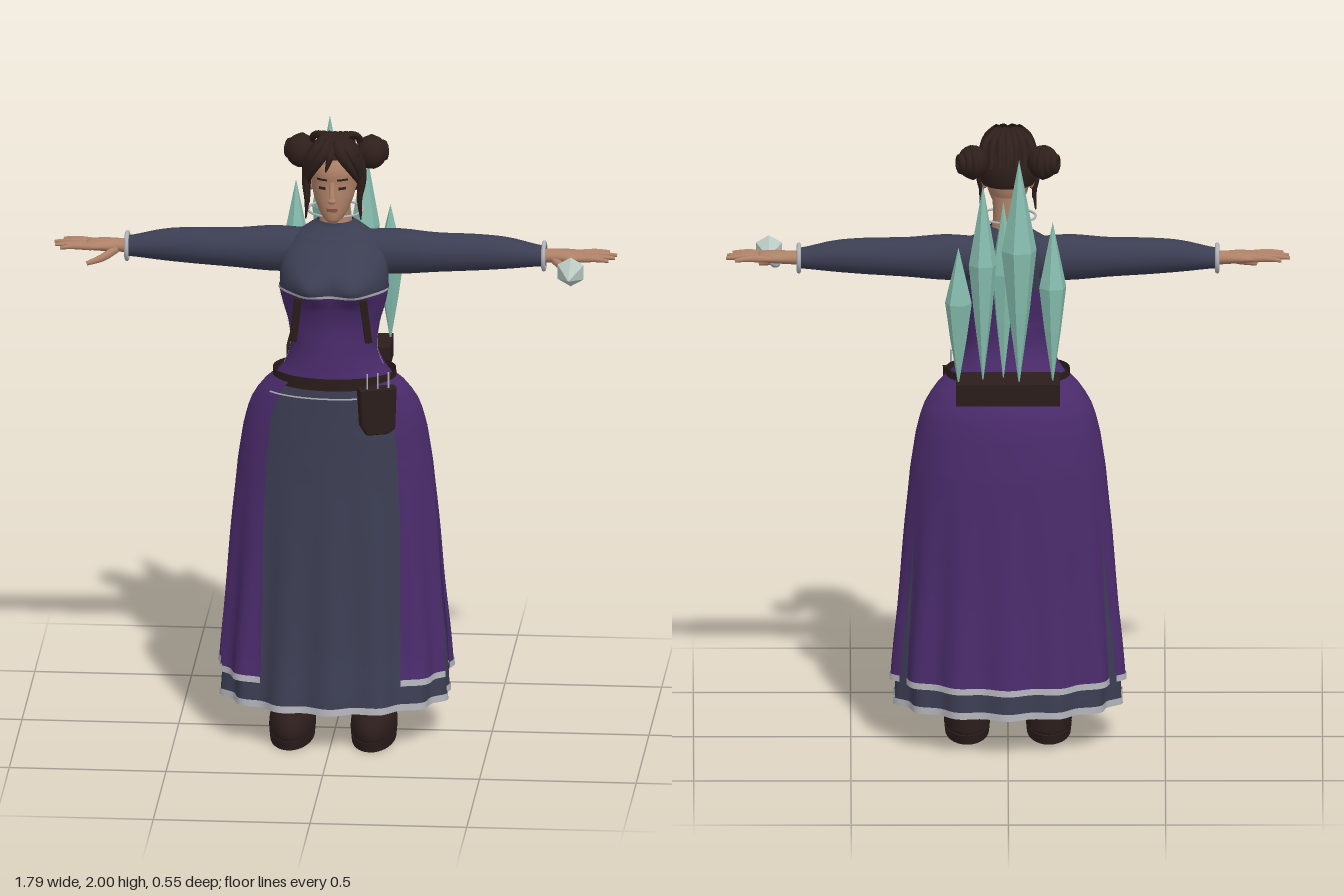
import * as THREE from 'three';
import { ParametricGeometry } from 'three/addons/geometries/ParametricGeometry.js';
import { RoundedBoxGeometry } from 'three/addons/geometries/RoundedBoxGeometry.js';

const V = (x, y, z) => new THREE.Vector3(x, y, z);

// Smooth lookup in rows of [key, ...values], keys ascending
function sample(rows, key) {
  let i = 0;
  while (i < rows.length - 2 && key > rows[i + 1][0]) i++;
  const at = k => rows[Math.min(Math.max(k, 0), rows.length - 1)];
  const [a, b, c, d] = [at(i - 1), at(i), at(i + 1), at(i + 2)];
  const t = THREE.MathUtils.clamp((key - b[0]) / (c[0] - b[0]), 0, 1);
  return b.slice(1).map((p, k) => {
    const q = c[k + 1], m = (q - a[k + 1]) / 2, n = (d[k + 1] - p) / 2;
    return p + m * t + (3 * (q - p) - 2 * m - n) * t * t + (m + n - 2 * (q - p)) * t * t * t;
  });
}

// Cross-sections: [y, half width, front z, back z]
const TORSO = [[1.18, .19, .16, -.1], [1.24, .155, .155, -.07], [1.3, .135, .152, -.05], [1.38, .143, .152, -.05],
  [1.44, .16, .165, -.06], [1.5, .172, .185, -.075], [1.55, .172, .178, -.085], [1.6, .165, .135, -.09],
  [1.65, .13, .085, -.09], [1.68, .085, .055, -.08], [1.7, .056, .047, -.066]];
const SKIRT = [[.12, .372, .275, -.255], [.3, .362, .245, -.237], [.5, .343, .222, -.217], [.7, .328, .203, -.205],
  [.9, .307, .186, -.193], [1.02, .288, .178, -.178], [1.1, .265, .173, -.16], [1.16, .228, .17, -.13], [1.21, .18, .165, -.09]];
const HEAD = [[1.722, .015, .12, .075], [1.735, .032, .132, .04], [1.76, .049, .136, 0], [1.8, .064, .136, -.02],
  [1.85, .073, .134, -.03], [1.9, .075, .135, -.035], [1.97, .055, .105, -.015]];
const NECK = [[1.66, .06, .05, -.07], [1.72, .048, .045, -.06], [1.8, .05, .06, -.055]];
const ARM = [[.1, 1.592, -.015, .07, .07], [.2, 1.594, -.012, .073, .068], [.32, 1.594, -.01, .063, .066],
  [.45, 1.597, -.01, .058, .06], [.55, 1.597, -.01, .05, .052], [.67, 1.59, -.01, .032, .036]];
const HAND = [[.64, 1.59, -.01, .024, .027], [.69, 1.592, -.01, .021, .03], [.74, 1.594, -.007, .019, .042],
  [.79, 1.594, -.005, .013, .044], [.805, 1.594, -.005, .003, .035]];

function oval(rows, a, y, out = 0) {
  const [rx, zf, zb] = sample(rows, y);
  return V((rx + out) * Math.sin(a), y, (zf + zb) / 2 + ((zf - zb) / 2 + out) * Math.cos(a));
}
function torso(a, y, out) {
  const p = oval(TORSO, a, y, out);
  if (Math.cos(a) > 0) p.z += .035 * Math.cos(a) * Math.exp(-(((Math.abs(p.x) - .08) / .05) ** 2) - ((y - 1.515) / .045) ** 2);
  return p;
}
function skirt(a, y, out) {
  const fold = .012 * THREE.MathUtils.clamp((.9 - y) / .8, 0, 1) * Math.cos(a * 14);
  return oval(SKIRT, a, y, out + fold);
}

export function createModel() {
  const root = new THREE.Group();
  root.name = 'robedWoman';
  const mat = (name, color, both) => new THREE.MeshStandardMaterial({ name, color, side: both ? THREE.DoubleSide : THREE.FrontSide });
  const skin = mat('skin', 0xae8167), slate = mat('slateCloth', 0x3b3d52, true), purple = mat('purpleCloth', 0x4a2b6b, true),
    dark = mat('darkLeather', 0x2b1d1b, true), hair = mat('hair', 0x2e1f1b, true), trim = mat('silverTrim', 0xb2b2ba, true),
    crystal = mat('tealCrystal', 0x86bdae), pale = mat('paleCrystal', 0xb9cac2), lips = mat('lips', 0x87524a);

  const add = (name, geo, m, x = 0, y = 0, z = 0, parent = root) => {
    const mesh = new THREE.Mesh(geo, m);
    mesh.name = name;
    mesh.position.set(x, y, z);
    parent.add(mesh);
    return mesh;
  };
  // Sheet of a rounded form between two edge angles (may vary with height) and two heights
  const sheet = (name, form, m, a0, a1, y0, y1, out = 0, nu = 64, nv = 32) => {
    const edge = (a, y) => typeof a === 'function' ? a(y) : a;
    return add(name, new ParametricGeometry((u, v, p) => {
      const y = y0 + (y1 - y0) * v, s = edge(a0, y);
      p.copy(form(s + (edge(a1, y) - s) * u, y, out));
    }, nu, nv), m);
  };
  // Sleeve or palm along x on side s
  const limb = (name, rows, s, m) => add(name, new ParametricGeometry((u, v, p) => {
    const x = rows[0][0] + (rows.at(-1)[0] - rows[0][0]) * v, [cy, cz, ry, rz] = sample(rows, x), a = u * Math.PI * 2;
    p.set(s * x, cy - s * Math.sin(a) * ry, cz + Math.cos(a) * rz);
  }, 24, 24), m);
  // Tapered tube through points
  const strand = (name, pts, r, m, tip = .15, parent = root) => {
    const curve = new THREE.CatmullRomCurve3(pts.map(p => V(...p))), n = 12, sides = 8;
    const geo = new THREE.TubeGeometry(curve, n, r, sides), pos = geo.attributes.position, p = V();
    for (let i = 0; i < pos.count; i++) {
      const t = Math.floor(i / (sides + 1)) / n, c = curve.getPointAt(t);
      p.fromBufferAttribute(pos, i).sub(c).multiplyScalar(1 - (1 - tip) * t ** 2).add(c);
      pos.setXYZ(i, p.x, p.y, p.z);
    }
    geo.computeVertexNormals();
    return add(name, geo, m, 0, 0, 0, parent);
  };
  const gem = (r, h, mid) => {
    const g = new THREE.LatheGeometry([[0, 0], [r * .6, h * mid * .55], [r, h * mid], [0, h]].map(p => new THREE.Vector2(...p)), 6).toNonIndexed();
    g.computeVertexNormals();
    return g;
  };
  const ball = (rx, ry, rz) => new THREE.SphereGeometry(1, 24, 16).scale(rx, ry, rz);
  const TAU = Math.PI * 2;

  // Bodice, belt and trims
  sheet('blouse', torso, slate, 0, TAU, 1.5, 1.7);
  sheet('corset', torso, purple, 0, TAU, 1.18, 1.5, .003);
  sheet('corsetTrim', torso, trim, -1.35, 1.35, 1.494, 1.503, .007, 64, 2);
  sheet('belt', (a, y, o) => oval([[1.17, .186, .16, -.095], [1.23, .184, .16, -.095]], a, y, o), dark, 0, TAU, 1.178, 1.218, .012, 48, 2);
  sheet('beltChain', skirt, trim, -1.0, .35, 1.15, 1.155, .006, 32, 2);

  // Underskirt and split overskirt, each with a hem
  sheet('underskirt', skirt, slate, 0, TAU, .13, 1.2, -.014, 120);
  sheet('underskirtHem', skirt, trim, 0, TAU, .125, .147, -.01, 120, 2);
  const slit = (c, w, side) => y => c + side * w * THREE.MathUtils.clamp((.72 - y) / .5, 0, 1);
  const front = y => .66 + .12 * THREE.MathUtils.clamp((y - .2) / .95, 0, 1);
  const neg = f => y => -f(y);
  const f0 = slit(1.38, .13, -1), f1 = slit(1.38, .13, 1), b0 = slit(2, .06, -1), b1 = slit(2, .06, 1);
  for (const [name, a, b] of [['leftFrontPanel', front, f0], ['leftSidePanel', f1, b0], ['backPanel', b1, y => TAU - b1(y)],
    ['rightSidePanel', neg(b0), neg(f1)], ['rightFrontPanel', neg(f0), neg(front)]]) {
    sheet(name, skirt, purple, a, b, .21, 1.2, .004);
    sheet(name + 'Hem', skirt, trim, a, b, .208, .228, .007, 64, 2);
  }

  // Head and face
  const head = (a, y, o) => oval(HEAD, a, y, o);
  sheet('head', head, skin, 0, TAU, 1.722, 1.97);
  sheet('neck', (a, y, o) => oval(NECK, a, y, o), skin, 0, TAU, 1.66, 1.8);
  strand('nose', [[0, 1.862, .128], [0, 1.83, .142], [0, 1.806, .152]], .009, skin, 1);
  add('noseTip', ball(.014, .01, .013), skin, 0, 1.806, .148);
  sheet('mouth', head, lips, -.32, .32, 1.766, 1.777, .003, 12, 4);
  for (const s of [-1, 1]) {
    const mid = s * .45;
    sheet('eye', head, hair, mid - .17, mid + .17, 1.838, 1.847, .002, 8, 3);
    sheet('eyebrow', head, hair, mid - .24, mid + .24, 1.868, 1.875, .003, 8, 3);
    add('ear', ball(.01, .022, .014), skin, s * .074, 1.83, .035);
  }
  const collar = add('neckRing', new THREE.TorusGeometry(.088, .004, 8, 40), trim, 0, 1.73, -.01);
  collar.rotation.x = Math.PI / 2;

  // Hair: crown, back, buns, fringe and side locks
  const crown = (p0, pl, t0, tl) => new THREE.SphereGeometry(1, 40, 16, p0, pl, t0, tl).scale(.096, .115, .1);
  add('hairCrown', crown(0, TAU, 0, 1.1), hair, 0, 1.884, .043);
  add('hairBack', crown(Math.PI / 2 + 1, TAU - 2, 1.05, 1.05), hair, 0, 1.884, .043);
  for (let i = -3; i <= 3; i++) {
    const x = i * .024;
    strand('crownLock', [[x * .6, 1.975, .1], [x * .5, 1.992, .05], [x, 1.97, -.015], [x * 1.1, 1.9, -.055]], .013, hair, .7);
  }
  for (const s of [-1, 1]) {
    add('bun', ball(.05, .054, .052), hair, s * .112, 1.915, -.035);
    for (let k = 0; k < 3; k++) {
      const coil = add('bunCoil', new THREE.TorusGeometry(.043 - k * .011, .013, 8, 24), hair, s * (.115 + k * .017), 1.915, -.04 - k * .008);
      coil.rotation.y = s * (Math.PI / 2 + .3);
    }
    strand('fringe', [[s * .012, 1.985, .1], [s * .03, 1.955, .135], [s * .062, 1.9, .122], [s * .08, 1.85, .09]], .02, hair);
    strand('fringe', [[s * .03, 1.985, .09], [s * .06, 1.95, .115], [s * .082, 1.89, .095], [s * .086, 1.82, .07]], .022, hair);
    strand('sideLock', [[s * .07, 1.94, .09], [s * .088, 1.86, .085], [s * .084, 1.79, .088], [s * .088, 1.725, .08]], .014, hair);
    strand('templeLock', [[s * .08, 1.92, .05], [s * .088, 1.85, .05], [s * .08, 1.77, .055]], .018, hair);
  }
  strand('middleFringe', [[0, 1.98, .1], [-.006, 1.95, .14], [-.02, 1.9, .142]], .015, hair);

  // Arms, hands, legs and boots
  for (const s of [-1, 1]) {
    limb('sleeve', ARM, s, slate);
    limb('palm', HAND, s, skin);
    add('bracelet', new THREE.TorusGeometry(.043, .007, 8, 32), trim, s * .665, 1.59, -.01).rotation.y = Math.PI / 2;
    for (let i = 0; i < 4; i++) {
      const z = -.038 + i * .022, end = [.87, .897, .893, .875][i];
      strand('finger', [[s * .775, 1.594, z], [s * .83, 1.597, z * 1.25], [s * end, 1.594, z * 1.5]], .011, skin, .5);
    }
    strand('thumb', [[s * .7, 1.585, .012], [s * .74, 1.565, .045], [s * .79, 1.55, .064]], .014, skin, .5);

    sheet('legging', (a, y) => oval([[.25, .05, .03, -.08], [.6, .065, .05, -.08], [1.1, .09, .09, -.09]], a, y).add(V(s * .12, 0, 0)), slate, 0, TAU, .25, 1.1, 0, 24, 12);
    const foot = ball(.074, .085, .175), fp = foot.attributes.position;
    for (let i = 0; i < fp.count; i++) fp.setY(i, Math.max(fp.getY(i), -.035));
    foot.computeVertexNormals();
    add('boot', foot, dark, s * .13, .05, .082);
    add('bootSole', new THREE.CylinderGeometry(.073, .07, .03, 28).scale(1, 1, 2.45), dark, s * .13, .016, .08);
    add('bootShaft', new THREE.CylinderGeometry(.058, .062, .25, 20), dark, s * .125, .17, -.03);

    // Hanging bodice ribbons and side seams
    const tie = add('ribbon', new RoundedBoxGeometry(.024, .15, .01, 2, .004), dark, s * .112, 1.42, .187);
    tie.rotation.set(.08, 0, s * .12);
    sheet('sideSeam', torso, trim, s * 1.4 - .015, s * 1.4 + .015, 1.24, 1.497, .006, 2, 24);
  }

  // Belt pouch with pins
  const pouchShape = new THREE.Shape([[-.057, .07], [.057, .07], [.052, -.06], [.03, -.075], [-.035, -.075], [-.05, -.05]].map(p => new THREE.Vector2(...p)));
  const pouch = new THREE.Group();
  pouch.name = 'pouch';
  pouch.position.set(.138, 1.115, .135);
  pouch.rotation.y = .35;
  root.add(pouch);
  add('pouchBody', new THREE.ExtrudeGeometry(pouchShape, { depth: .035, bevelSize: .004, bevelThickness: .004, bevelSegments: 1 }), dark, 0, 0, 0, pouch);
  for (const x of [-.035, 0, .035]) add('pin', new THREE.CylinderGeometry(.003, .003, .09, 6), trim, x, .08, .03, pouch);

  // Back tray holding crystals: [x, z, height, radius]
  add('tray', new THREE.BoxGeometry(.33, .07, .15), dark, 0, 1.205, -.18);
  add('trayStrap', new THREE.BoxGeometry(.2, .03, .06), dark, 0, 1.2, -.095);
  for (const [x, z, h, r] of [[-.142, -.2, .54, .045], [-.035, -.215, .75, .057], [.015, -.165, .6, .04], [.08, -.19, .66, .046], [.158, -.215, .46, .043]])
    add('backCrystal', gem(r, h, .6), crystal, x, 1.225, z).rotation.y = x * 9;

  // Crystal carried by the left hand
  add('handCrystal', gem(.048, .185, .45), pale, .76, 1.58, .035).rotation.x = Math.PI / 2;
  add('handBead', ball(.018, .018, .018), trim, .74, 1.565, .03);
  return root;
}
